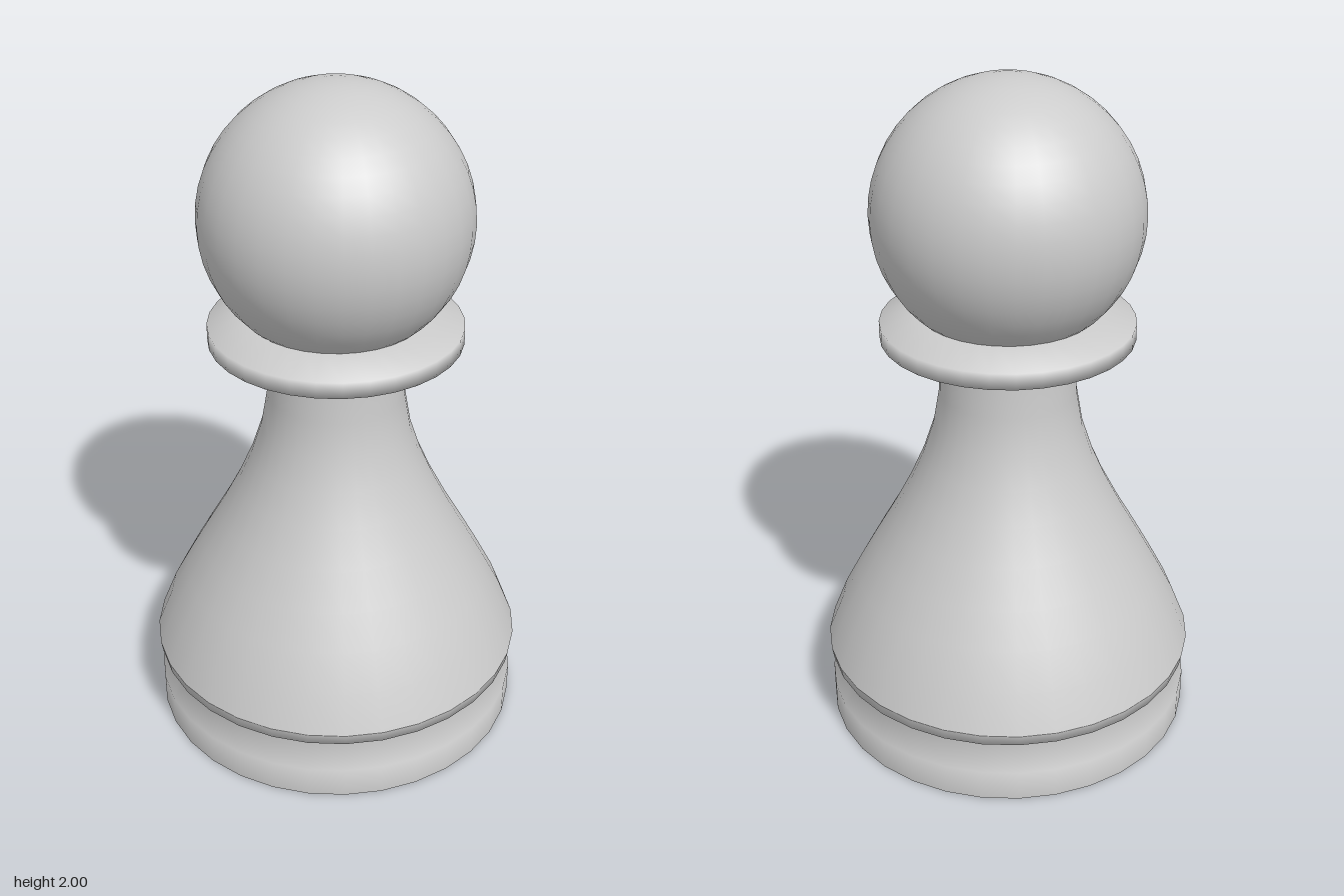
import * as THREE from 'three';

const SIDES = 32;
const material = new THREE.MeshStandardMaterial({ color: 0xcccccc });

export function createModel() {
  const pawn = new THREE.Group();
  pawn.name = 'pawn';

  const add = (name, geometry, y = 0) => {
    const mesh = new THREE.Mesh(geometry, material);
    mesh.name = name;
    mesh.position.y = y;
    pawn.add(mesh);
    return mesh;
  };
  // Turned part from [radius, height] pairs, bottom to top
  const turn = (profile) =>
    new THREE.LatheGeometry(profile.map(([r, y]) => new THREE.Vector2(r, y)), SIDES);

  // Flat underside
  add('underside', new THREE.CircleGeometry(0.56, SIDES).rotateX(Math.PI / 2).rotateY(Math.PI / 2));

  // Foot ring and the V groove above it
  add('base', turn([[0.56, 0], [0.56, 0.095], [0.5, 0.15], [0.56, 0.2], [0.566, 0.235]]));

  // Flared body narrowing to a straight neck
  add('body', turn([
    [0.566, 0.235], [0.52, 0.35], [0.465, 0.455], [0.41, 0.555], [0.35, 0.66],
    [0.296, 0.765], [0.255, 0.86], [0.222, 0.96], [0.203, 1.07], [0.198, 1.22],
  ]));

  // Collar with a sloped underside and top
  add('collar', turn([
    [0.19, 1.213], [0.25, 1.22], [0.37, 1.247], [0.37, 1.295], [0.26, 1.325], [0.2, 1.325],
  ]));

  // Ball head
  add('head', new THREE.SphereGeometry(0.388, SIDES, 24), 1.612);

  return pawn;
}
